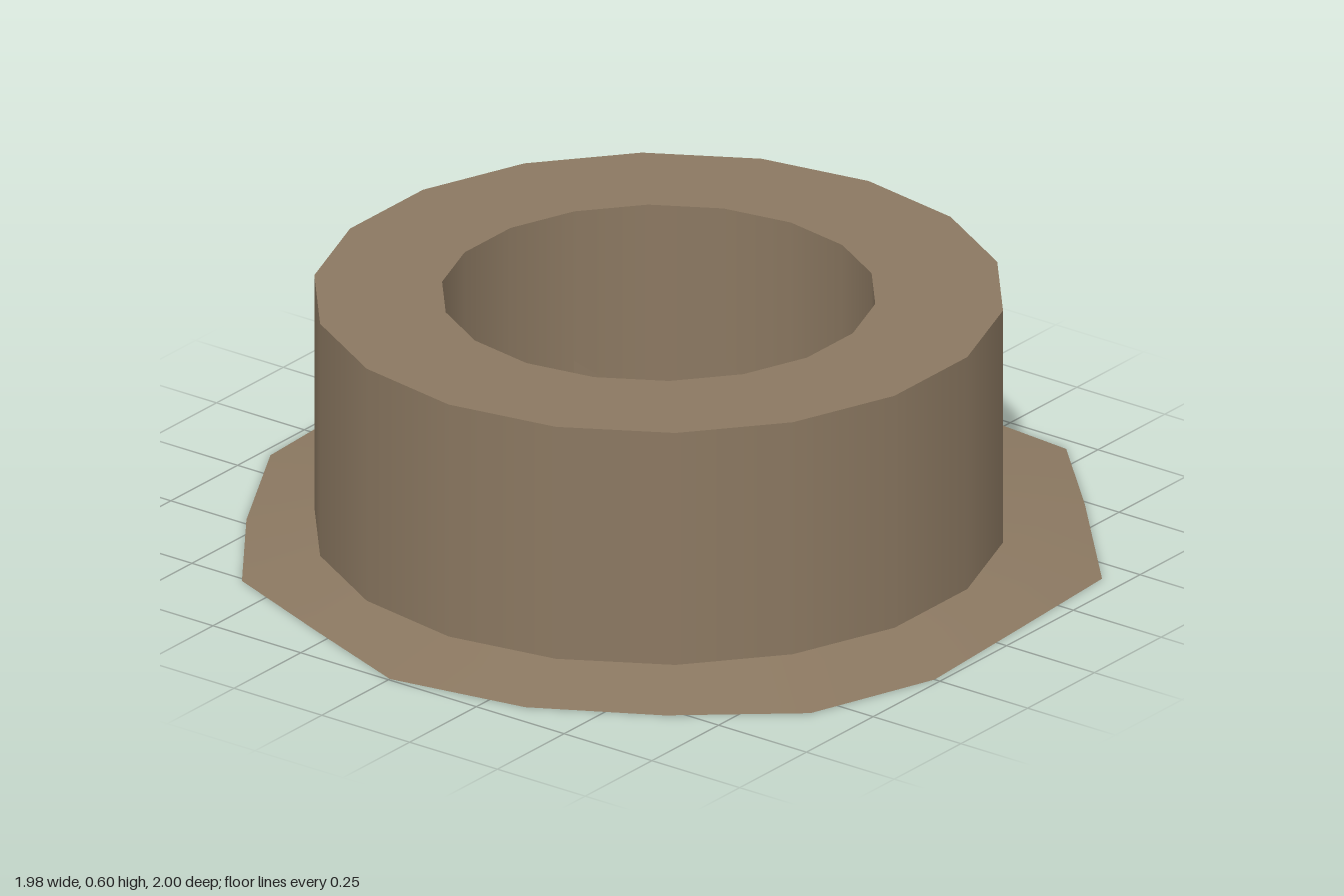
import * as THREE from 'three';

const SIDES = 18, TOP = 0.605, FOOT = 0.03, CZ = -0.012;
const OUTER = 0.787, INNER = 0.495;

// angle runs clockwise seen from above, starting at the back
const dir = i => {
  const t = (i % SIDES) / SIDES * Math.PI * 2;
  return [Math.sin(t), -Math.cos(t)];
};
const onRing = (i, r, y) => {
  const [x, z] = dir(i);
  return [x * r, y, z * r + CZ];
};

// closed band of quads between edges a and b; each edge is f(corner, segment)
function band(name, material, a, b, radial, up) {
  const pos = [], nor = [], idx = [];
  for (let s = 0; s < SIDES; s++) {
    for (const [f, i] of [[a, s], [b, s], [b, s + 1], [a, s + 1]]) {
      pos.push(...f(i, s));
      const [x, z] = dir(i);
      nor.push(x * radial, up, z * radial);
    }
    const k = s * 4;
    idx.push(k, k + 1, k + 2, k, k + 2, k + 3);
  }
  const g = new THREE.BufferGeometry();
  g.setAttribute('position', new THREE.Float32BufferAttribute(pos, 3));
  g.setAttribute('normal', new THREE.Float32BufferAttribute(nor, 3));
  g.setIndex(idx);
  const mesh = new THREE.Mesh(g, material);
  mesh.name = name;
  return mesh;
}

export function createModel() {
  const group = new THREE.Group();
  group.name = 'hollowRing';
  const earth = new THREE.MeshStandardMaterial({ color: 0x8b7861, side: THREE.DoubleSide });
  earth.name = 'earthBrown';

  const outerTop = i => onRing(i, OUTER, TOP);
  const outerFoot = i => onRing(i, OUTER, FOOT);
  const innerTop = i => onRing(i, INNER, TOP);

  // ragged skirt outline, one point per side
  const rim = [
    [0, -1], [0.44, -0.96], [0.66, -0.74], [0.945, -0.43], [0.965, -0.1], [0.985, 0.25],
    [0.875, 0.57], [0.62, 0.78], [0.34, 0.935], [0, 0.995], [-0.3, 0.88], [-0.6, 0.76],
    [-0.8, 0.48], [-0.975, 0.16], [-0.99, -0.15], [-0.8, -0.52], [-0.66, -0.715], [-0.325, -0.945],
  ];
  const skirtEdge = i => {
    const [x, z] = rim[i % SIDES];
    return [x, 0.002, z];
  };

  // saw-toothed lower edge: depth at the start and end of each side
  const irregular = {
    9: [0.37, 0.37], 10: [0.37, 0.37],
    11: [0.25, 0.37], 12: [0.37, 0.5],
    13: [0.33, 0.4], 14: [0.4, 0.5],
  };
  const teeth = (i, s) => {
    const depth = (irregular[s] || [0.37, 0.5])[i - s];
    return onRing(i, INNER, TOP - depth);
  };

  group.add(
    band('outerWall', earth, outerFoot, outerTop, 1, 0),
    band('topRim', earth, outerTop, innerTop, 0, 1),
    band('innerWall', earth, innerTop, teeth, -1, 0),
    band('skirt', earth, skirtEdge, outerFoot, 0.14, 0.99),
  );
  return group;
}
